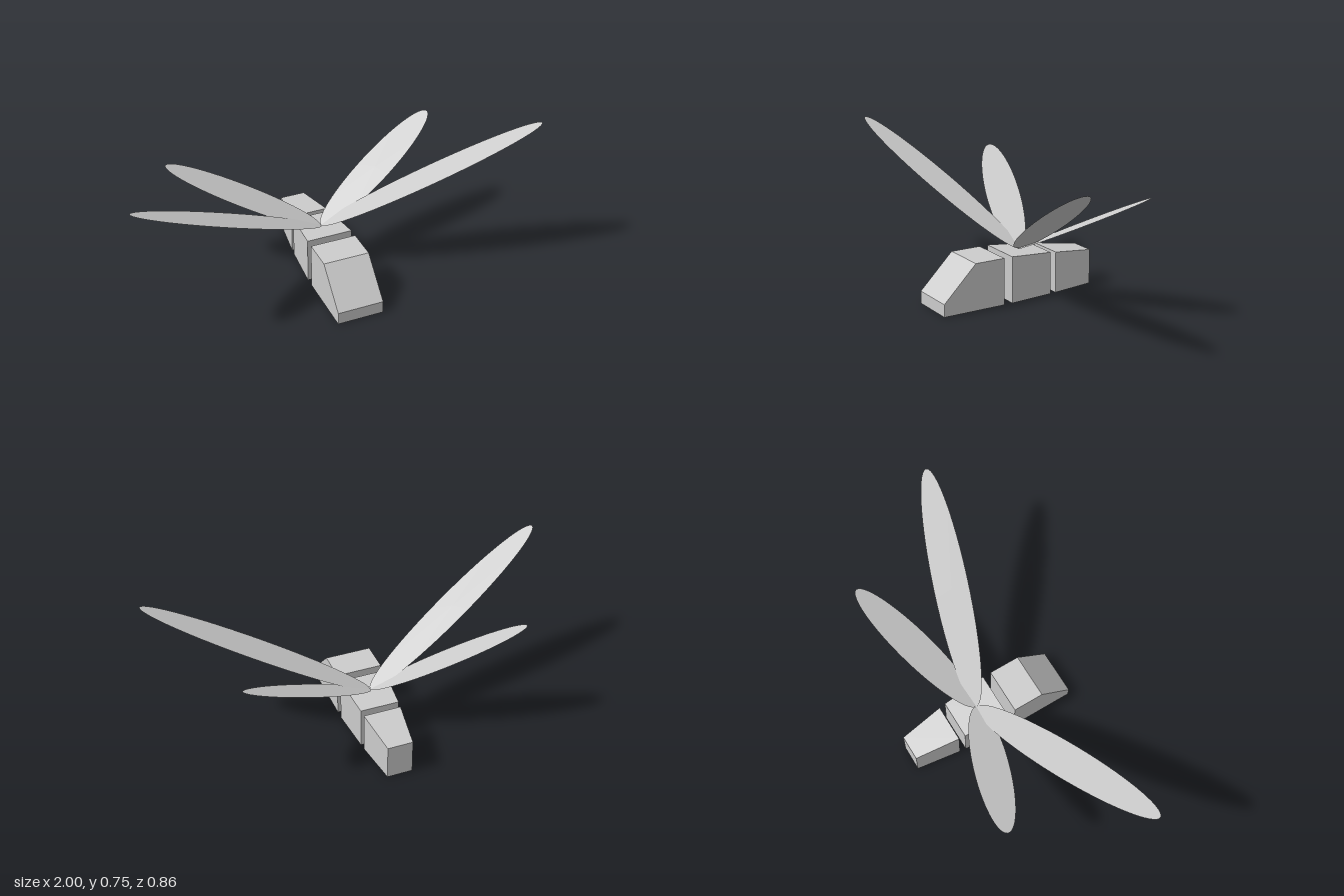
import * as THREE from 'three';

const bodyGrey = new THREE.MeshStandardMaterial({ color: 0xcccccc, side: THREE.DoubleSide });
bodyGrey.name = 'light grey';

// Body block: side profile of [z, y] points, half width running linearly from front to back
function bodyBlock(name, profile, frontHalf, backHalf) {
  const shape = new THREE.Shape(profile.map(([z, y]) => new THREE.Vector2(z, y)));
  const geo = new THREE.ExtrudeGeometry(shape, { depth: 2, bevelEnabled: false });
  geo.translate(0, 0, -1).rotateY(-Math.PI / 2);
  const zs = profile.map((p) => p[0]);
  const zBack = Math.min(...zs), zFront = Math.max(...zs);
  const pos = geo.attributes.position;
  for (let i = 0; i < pos.count; i++) {
    const t = (pos.getZ(i) - zBack) / (zFront - zBack);
    pos.setX(i, pos.getX(i) * THREE.MathUtils.lerp(backHalf, frontHalf, t));
  }
  geo.computeVertexNormals();
  const mesh = new THREE.Mesh(geo, bodyGrey);
  mesh.name = name;
  return mesh;
}

// Flat elliptical wing: centre, half-length axis and half-width axis; side is +1 or -1
function wing(name, centre, along, across, side) {
  const geo = new THREE.CircleGeometry(1, 64);
  const c = new THREE.Vector3(...centre);
  const u = new THREE.Vector3(...along);
  const v = new THREE.Vector3(...across).multiplyScalar(-side);
  c.x *= side;
  u.x *= side;
  const n = u.clone().cross(v).normalize();
  geo.applyMatrix4(new THREE.Matrix4().makeBasis(u, v, n).setPosition(c));
  geo.computeVertexNormals();
  const mesh = new THREE.Mesh(geo, bodyGrey);
  mesh.name = name;
  return mesh;
}

export function createModel() {
  const model = new THREE.Group();
  model.name = 'wingedInsect';

  // Three separate body blocks, front to back
  model.add(
    bodyBlock('head', [[0.43, 0], [0.43, 0.062], [0.26, 0.232], [0.104, 0.232], [0.104, 0]], 0.115, 0.115),
    bodyBlock('thorax', [[0.06, 0], [0.06, 0.232], [-0.17, 0.212], [-0.17, 0]], 0.115, 0.097),
    bodyBlock('tail', [[-0.202, 0], [-0.202, 0.207], [-0.428, 0.176], [-0.428, 0]], 0.094, 0.063),
  );

  // Mirrored pairs of wings
  for (const [side, label] of [[1, 'left'], [-1, 'right']]) {
    model.add(
      wing(label + 'FrontWing', [0.5, 0.489, 0.115], [0.5, 0.26, 0.157], [0, 0.014, 0.09], side),
      wing(label + 'RearWing', [0.345, 0.41, -0.172], [0.345, 0.18, -0.118], [0, -0.028, 0.09], side),
    );
  }
  return model;
}
